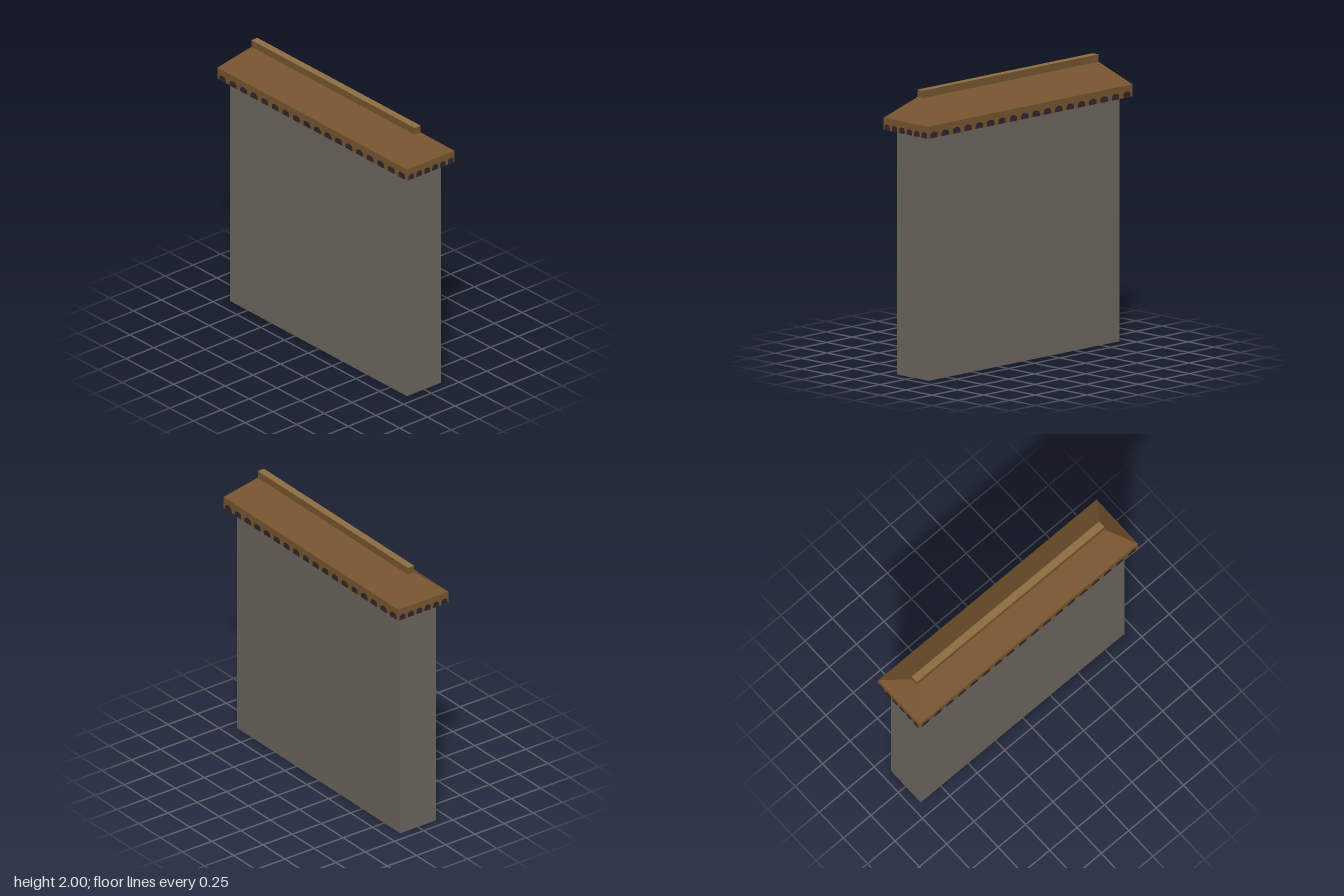
import * as THREE from 'three';

const wallMat = new THREE.MeshStandardMaterial({ color: 0x6b655c, side: THREE.DoubleSide });
wallMat.name = 'grey plaster';
const roofMat = new THREE.MeshStandardMaterial({ color: 0x76542f });
roofMat.name = 'brown tile';
const ridgeMat = new THREE.MeshStandardMaterial({ color: 0x8c6d40 });
ridgeMat.name = 'light ridge tile';
const darkMat = new THREE.MeshStandardMaterial({ color: 0x30252a });
darkMat.name = 'dark eave';

// Flat-shaded band of four sides between rectangular rings [y, halfX, halfZ], bottom to top.
function loft(rings) {
  const pos = [], index = [];
  for (const [y, hx, hz] of rings) pos.push(-hx, y, hz, hx, y, hz, hx, y, -hz, -hx, y, -hz);
  for (let r = 0; r < rings.length - 1; r++) {
    for (let i = 0; i < 4; i++) {
      const a = r * 4 + i, b = r * 4 + (i + 1) % 4;
      index.push(a, b, b + 4, a, b + 4, a + 4);
    }
  }
  const g = new THREE.BufferGeometry();
  g.setAttribute('position', new THREE.Float32BufferAttribute(pos, 3));
  g.setIndex(index);
  const flat = g.toNonIndexed();
  flat.computeVertexNormals();
  return flat;
}

// Arched tile end: straight sides with a rounded top.
function archGeometry(w, h) {
  const s = new THREE.Shape();
  s.moveTo(-w / 2, 0);
  s.lineTo(w / 2, 0);
  s.lineTo(w / 2, h * 0.5);
  s.bezierCurveTo(w / 2, h * 1.15, -w / 2, h * 1.15, -w / 2, h * 0.5);
  return new THREE.ExtrudeGeometry(s, { depth: 0.003, bevelEnabled: false, curveSegments: 8 });
}

export function createModel() {
  const model = new THREE.Group();
  model.name = 'roofedWall';
  const add = (name, geometry, material, parent = model) => {
    const m = new THREE.Mesh(geometry, material);
    m.name = name;
    parent.add(m);
    return m;
  };

  const eaveX = 0.214, eaveZ = 0.996, eaveY = 1.712;
  const ridgeX = 0.027, ridgeZ = 0.856;

  // Wall body, open underneath
  add('wall', loft([[0, 0.153, 0.929], [eaveY, 0.153, 0.929]]), wallMat).position.set(-0.002, 0, -0.004);

  // Hipped roof: upright fascia, sloping sides, ridge beam sides
  add('roof', loft([[eaveY, eaveX, eaveZ], [1.797, eaveX, eaveZ], [1.948, ridgeX, ridgeZ]]), roofMat);
  add('ridgeSides', loft([[1.948, ridgeX, ridgeZ], [2, ridgeX, ridgeZ]]), roofMat);
  const cap = add('ridgeTop', new THREE.PlaneGeometry(ridgeX * 2, ridgeZ * 2), ridgeMat);
  cap.rotation.x = -Math.PI / 2;
  cap.position.y = 2;

  // Dark underside of the eaves
  const soffit = add('soffit', new THREE.PlaneGeometry(eaveX * 2, eaveZ * 2), darkMat);
  soffit.rotation.x = Math.PI / 2;
  soffit.position.y = eaveY;

  // Rows of arched tile ends along all four eaves
  const longArch = archGeometry(0.068, 0.042), shortArch = archGeometry(0.048, 0.042);
  for (let side = 0; side < 4; side++) {
    const isLong = side % 2 === 1;
    const count = isLong ? 18 : 6;
    const length = (isLong ? eaveZ : eaveX) * 2;
    const row = new THREE.Group();
    row.name = 'eaveTileRow';
    row.rotation.y = side * Math.PI / 2;
    for (let i = 0; i < count; i++) {
      const tile = add('eaveTile', isLong ? longArch : shortArch, darkMat, row);
      tile.position.set(((i + 0.5) / count - 0.5) * length, eaveY, isLong ? eaveX : eaveZ);
    }
    model.add(row);
  }
  return model;
}
